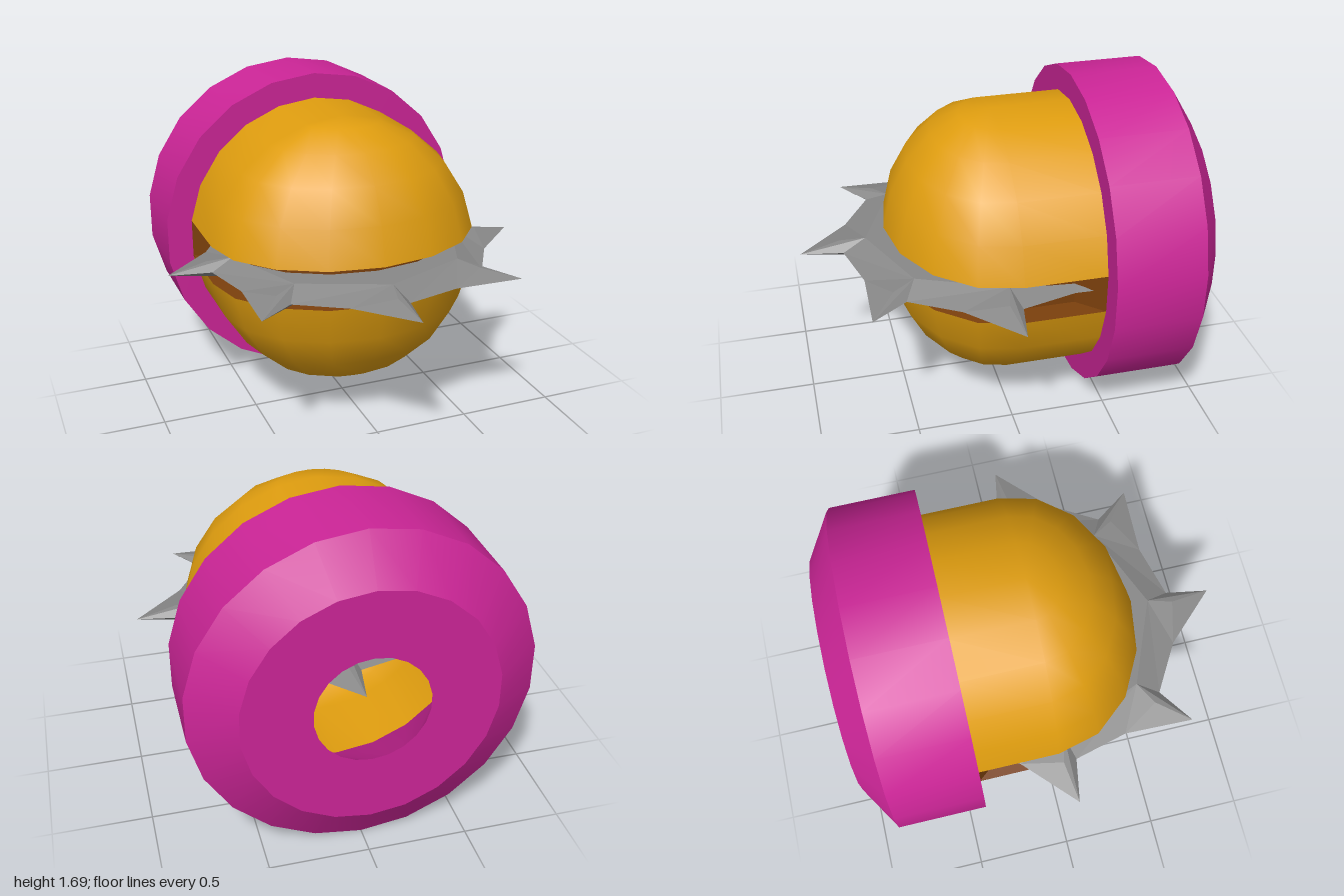
import * as THREE from 'three';
import { mergeVertices, toCreasedNormals } from 'three/addons/utils/BufferGeometryUtils.js';

const CY = 0.848;               // height of the main axis
const SIDES = 22;               // facets around the main axis
const STEP = (Math.PI * 2) / SIDES;
const R = 0.712;                // shell radius
const DEPTH = 0.8;              // front-to-back squash of the dome
const BACK = -0.41;             // where shell meets collar

const mat = (name, color, side = THREE.FrontSide) => {
  const m = new THREE.MeshStandardMaterial({ color, side });
  m.name = name;
  return m;
};

// Skin rows of points, listed top to bottom and from +x round the front to -x
function skin(rows) {
  const n = rows[0].length, index = [];
  for (let k = 0; k < rows.length - 1; k++) {
    for (let j = 0; j < n - 1; j++) {
      const a = k * n + j, b = a + n;
      index.push(a, a + 1, b, a + 1, b + 1, b);
    }
  }
  const g = new THREE.BufferGeometry();
  g.setAttribute('position', new THREE.Float32BufferAttribute(rows.flat(2), 3));
  g.setIndex(index);
  return g;
}

// U-shaped ring: straight sides at the back, half ellipse at the front
function ring(r, y, back) {
  const pts = back.map(([x, z]) => [x, y, z]);
  for (let j = 0; j <= 8; j++) {
    const t = (j / 8) * Math.PI;
    pts.push([r * Math.cos(t), y, DEPTH * r * Math.sin(t)]);
  }
  for (const [x, z] of [...back].reverse()) pts.push([-x, y, z]);
  return pts;
}

// Quarter-dome shell, its lower edge one facet short of the middle
function shellGeometry() {
  const rows = [];
  for (let k = 0; k <= 5; k++) {
    const r = R * Math.sin(k * STEP);
    rows.push(ring(r, R * Math.cos(k * STEP), [[r, BACK]]));
  }
  const g = mergeVertices(skin(rows), 1e-4);
  g.computeVertexNormals();
  return g;
}

// Recessed channel between the two shells
function slotGeometry() {
  const r = R * Math.sin(5 * STEP), h = R * Math.cos(5 * STEP);
  const outer = [[r, BACK], [r, -0.28]];
  const inner = [[r, BACK], [0.6, -0.28]];
  return toCreasedNormals(skin([
    ring(r, h, outer), ring(0.6, h - 0.008, inner),
    ring(0.6, 0.008 - h, inner), ring(r, -h, outer),
  ]), 0.5);
}

// Eight-toothed blade with bevelled edges, built from one repeated tooth
function bladeGeometry() {
  const pos = [];
  const polar = (deg, r, y) => {
    const a = THREE.MathUtils.degToRad(deg);
    return [r * Math.sin(a), y, r * Math.cos(a)];
  };
  const face = (...p) => {
    for (let i = 1; i < p.length - 1; i++) {
      const tri = [p[0], p[i], p[i + 1]];
      pos.push(...tri.flat());
      for (const [x, y, z] of [tri[0], tri[2], tri[1]]) pos.push(x, -y, z);
    }
  };
  for (let i = 0; i < 8; i++) {
    const d = i * 45;
    const tip = polar(d, 0.945, 0), nextTip = polar(d + 45, 0.945, 0);
    const notch = polar(d + 3, 0.73, 0), heel = polar(d + 25.5, 0.73, 0);
    const ridge = polar(d - 2.4, 0.74, 0.036), nextRidge = polar(d + 42.6, 0.74, 0.036);
    const root = polar(d, 0.61, 0.052), nextRoot = polar(d + 45, 0.61, 0.052);
    face(tip, notch, root, ridge);
    face(notch, heel, nextRoot, root);
    face(heel, nextTip, nextRidge, nextRoot);
    face(root, nextRoot, [0, 0.052, 0]);
  }
  const g = new THREE.BufferGeometry();
  g.setAttribute('position', new THREE.Float32BufferAttribute(pos, 3));
  g.computeVertexNormals();
  return g;
}

// Chamfered collar with a hole that widens inwards
function collarGeometry() {
  const profile = [
    [0.28, -1], [0.62, -1], [0.845, -0.86], [0.845, BACK], [0.7, BACK], [0.28, -1],
  ].map(([r, z]) => new THREE.Vector2(r, z));
  const g = new THREE.LatheGeometry(profile, SIDES);
  g.rotateX(Math.PI / 2);
  return toCreasedNormals(g, 0.5);
}

export function createModel() {
  const orange = mat('orange shell', 0xdf9d0f, THREE.DoubleSide);
  const brown = mat('brown slot', 0x7a3f0c, THREE.DoubleSide);
  const magenta = mat('magenta collar', 0xcc2597);
  const grey = mat('grey steel', 0x888888);

  const group = new THREE.Group();
  group.name = 'sawLauncher';
  const add = (name, geometry, material) => {
    const m = new THREE.Mesh(geometry, material);
    m.name = name;
    m.position.y = CY;
    group.add(m);
    return m;
  };

  const shell = shellGeometry();
  add('upperShell', shell, orange);
  add('lowerShell', shell, orange).rotation.z = Math.PI;
  add('slot', slotGeometry(), brown);
  add('collar', collarGeometry(), magenta);
  add('blade', bladeGeometry(), grey).position.z = 0.05;
  return group;
}
